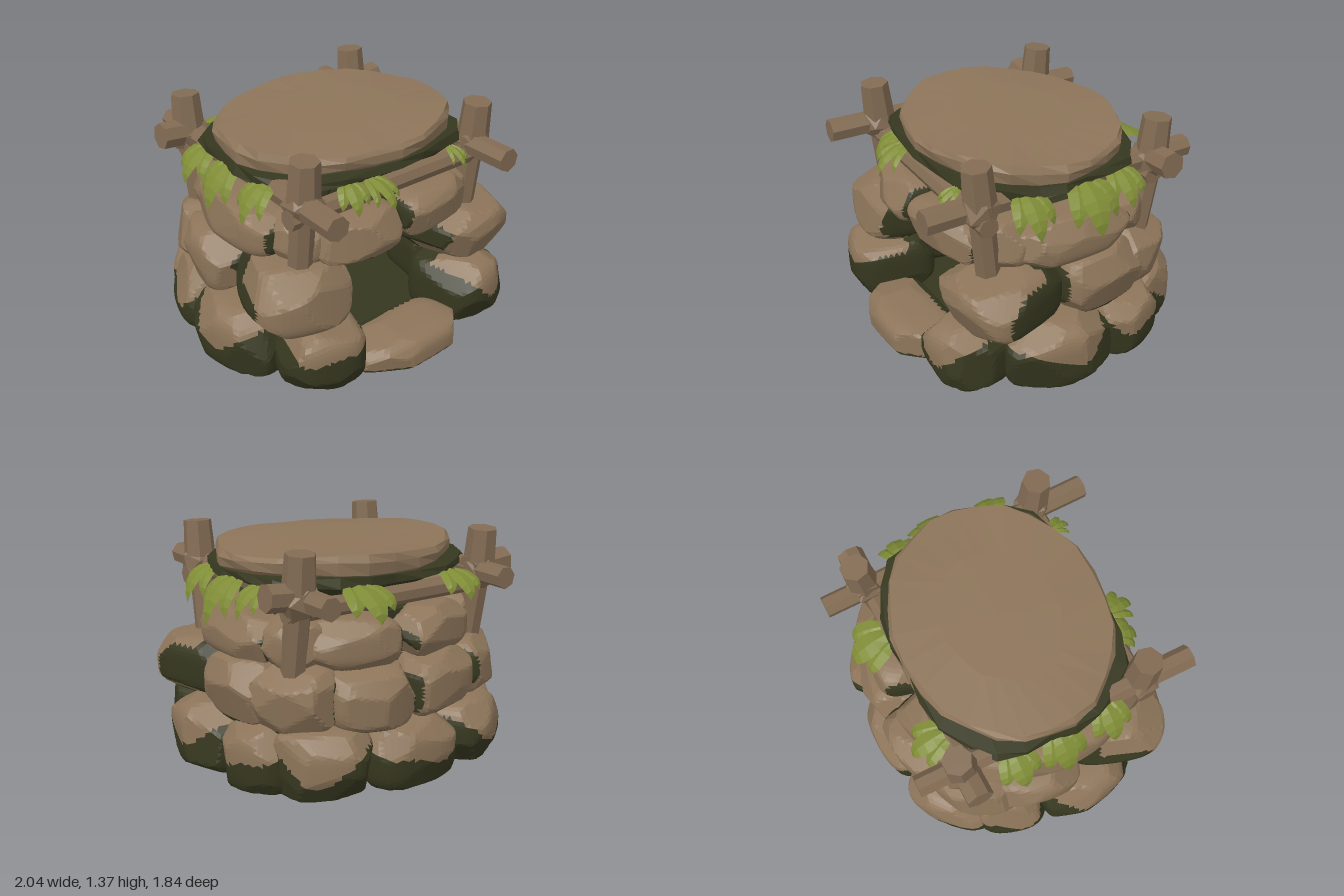
import * as THREE from 'three';

const mat = (name, color, side = THREE.FrontSide) => {
  const m = new THREE.MeshStandardMaterial({ color, side, flatShading: true });
  m.name = name;
  return m;
};

function seeded(seed) {
  let s = seed * 7919 + 17;
  return () => ((s = (s * 16807) % 2147483647) / 2147483647);
}

export function createModel() {
  const stoneMat = mat('stone brown', 0x8c7459);
  const mossMat = mat('dark moss', 0x36371f, THREE.DoubleSide);
  const woodMat = mat('weathered wood', 0x826b53);
  const leafMat = mat('leaf green', 0x7f8c36, THREE.DoubleSide);
  const model = new THREE.Group();
  let seed = 1;

  const add = (name, geo, material, parent = model) => {
    const mesh = new THREE.Mesh(geo, material);
    mesh.name = name;
    parent.add(mesh);
    return mesh;
  };

  // Chiselled boulder: a rounded block cut by random planes.
  // Faces for which isMoss(unit point, height, phase, stone z) holds use moss.
  function boulder(name, parent, [w, h, d], [x, y, z], turn, isMoss) {
    const rnd = seeded(seed++);
    for (let i = 0; i < 5; i++) rnd();
    const p = 3.5, q = p / (p - 1);
    const norm = (v, e) => (Math.abs(v.x) ** e + Math.abs(v.y) ** e + Math.abs(v.z) ** e) ** (1 / e);
    const cuts = Array.from({ length: 14 }, () => {
      const n = new THREE.Vector3(rnd() * 2 - 1, rnd() * 1.8 - 0.8, rnd() * 2 - 0.7).normalize();
      return { n, h: norm(n, q) * (0.81 + rnd() * 0.13) };
    });
    const src = new THREE.IcosahedronGeometry(1, 10).attributes.position;
    const plain = [], mossy = [];
    const phase = rnd() * 6;
    for (let i = 0; i < src.count; i += 3) {
      const tri = [], mid = new THREE.Vector3();
      for (let k = 0; k < 3; k++) {
        const v = new THREE.Vector3().fromBufferAttribute(src, i + k);
        let r = 1 / norm(v, p);
        for (const c of cuts) {
          const dot = v.dot(c.n);
          if (dot > 0) r = Math.min(r, c.h / dot);
        }
        v.multiplyScalar(r);
        mid.addScaledVector(v, 1 / 3);
        // wedge and bend the block around the ring, and rest it on the ground
        tri.push(
          v.x * (1 + 0.1 * v.z) * w / 2,
          Math.max(v.y * h / 2, -y),
          (v.z - 0.12 * v.x * v.x) * d / 2);
      }
      (isMoss(mid, y + mid.y * h / 2, phase, z) ? mossy : plain).push(...tri);
    }
    const geo = new THREE.BufferGeometry();
    geo.setAttribute('position', new THREE.Float32BufferAttribute([...plain, ...mossy], 3));
    geo.addGroup(0, plain.length / 3, 0);
    geo.addGroup(plain.length / 3, mossy.length / 3, 1);
    geo.computeVertexNormals();
    const mesh = add(name, geo, [stoneMat, mossMat], parent);
    mesh.position.set(x, y, z);
    mesh.rotation.y = turn;
  }

  // Three tiers of boulders; each stone is [x, z, facing in degrees, width, depth]
  const upperMoss = (v) => v.z < -0.3 || v.y < -0.85 || Math.abs(v.x) > 0.91;
  const baseMoss = (v, y, f, z) => v.z < -0.25 || Math.abs(v.x) > 0.95 ||
    y < 0.17 + 0.06 * z + 0.15 * v.x * v.x + 0.04 * Math.sin(v.x * 4 + f);
  const tiers = [
    { name: 'lowerStone', y0: -0.05, y1: 0.39, moss: baseMoss, stones: [
      [0.56, 0.57, 16, 0.48, 0.54], [0.75, 0.15, 80, 0.64, 0.52], [0.69, -0.32, 108, 0.44, 0.48],
      [0.49, -0.57, 142, 0.58, 0.52], [0, -0.66, 180, 0.58, 0.52]] },
    { name: 'middleStone', y0: 0.33, y1: 0.72, moss: upperMoss, stones: [
      [0.62, 0.43, 16, 0.58, 0.64], [0.67, -0.16, 95, 0.56, 0.48],
      [0.57, -0.46, 127, 0.5, 0.48], [0.21, -0.62, 162, 0.5, 0.48]] },
    { name: 'upperStone', y0: 0.67, y1: 0.96, moss: upperMoss, stones: [
      [0.28, 0.52, 12, 0.55, 0.4], [0.52, 0.37, 55, 0.36, 0.36], [0.63, 0, 90, 0.74, 0.4],
      [0.53, -0.38, 126, 0.38, 0.38], [0.27, -0.53, 158, 0.55, 0.4]] },
  ];
  for (const t of tiers) {
    const ring = new THREE.Group();
    ring.name = t.name + 'Ring';
    model.add(ring);
    for (const [x, z, deg, w, d] of t.stones) {
      for (const s of x === 0 ? [1] : [1, -1]) {
        boulder(t.name, ring, [w, t.y1 - t.y0, d], [s * x, (t.y0 + t.y1) / 2, z], s * deg * Math.PI / 180, t.moss);
      }
    }
  }
  boulder('doorStep', model, [0.72, 0.27, 0.42], [0, 0.04, 0.71], 0, (v, y) => y < 0.012 || v.z < -0.7);

  // Dark inside walls with a doorway, and the floor
  const lower = add('insideWall', new THREE.CylinderGeometry(0.62, 0.62, 0.68, 28, 1, true, 0.7, Math.PI * 2 - 1.4), mossMat);
  lower.position.y = 0.35;
  const upper = add('upperInsideWall', new THREE.CylinderGeometry(0.62, 0.62, 0.24, 28, 1, true), mossMat);
  upper.position.y = 0.82;
  const floor = add('floor', new THREE.CylinderGeometry(0.8, 0.8, 0.03, 28), mossMat);
  floor.position.y = 0.016;
  for (const m of [lower, upper, floor]) m.scale.z = 0.86;

  // Uneven round slab; "square" pushes the outline out at its corners
  function disc(name, profile, material, wobble, square) {
    const sides = 26;
    const geo = new THREE.LatheGeometry(profile.map((p) => new THREE.Vector2(...p)), sides);
    const pos = geo.attributes.position, n = profile.length;
    for (let i = 0; i < pos.count; i++) {
      const turn = Math.floor(i / n) % sides, a = turn * 2.4, j = i % n;
      const k = (1 + wobble * Math.sin(a * 1.7 + j)) * (1 + square * Math.sin(turn / sides * Math.PI * 4) ** 2);
      const lift = j === 0 || j > n - 3 ? 0 : 0.012 * Math.sin(a * 2.3 + j);
      pos.setXYZ(i, pos.getX(i) * k, pos.getY(i) + lift, pos.getZ(i) * k * 0.83);
    }
    geo.computeVertexNormals();
    return add(name, geo, material);
  }
  disc('roofSlab', [[0, 1.15], [0.67, 1.14], [0.73, 1.19], [0.74, 1.25], [0.72, 1.285], [0.4, 1.297], [0, 1.3]], stoneMat, 0.015, 0).position.x = 0.012;
  disc('roofMoss', [[0, 1.1], [0.66, 1.09], [0.735, 1.13], [0.72, 1.175], [0.5, 1.19], [0, 1.19]], mossMat, 0.025, 0.13);

  // Rough seven-sided log between two points
  function log(name, from, to, r0, r1) {
    const a = new THREE.Vector3(...from), b = new THREE.Vector3(...to);
    const dir = b.clone().sub(a);
    const mesh = add(name, new THREE.CylinderGeometry(r1, r0, dir.length(), 7), woodMat);
    mesh.position.copy(a).add(b).multiplyScalar(0.5);
    mesh.quaternion.setFromUnitVectors(new THREE.Vector3(0, 1, 0), dir.normalize());
  }
  for (const s of [1, -1]) {
    for (const f of [1, -1]) {
      const z = f > 0 ? 0.57 : -0.6;
      log('post', [s * 0.625, 0.64, f * 0.5], [s * 0.63, 1.15, z * 0.97], 0.072, 0.075);
      log('postTop', [s * 0.63, 1.08, z * 0.96], [s * 0.63, 1.36, z], 0.1, 0.085);
      const knot = add('lashing', new THREE.IcosahedronGeometry(0.122, 0), woodMat);
      knot.position.set(s * 0.63, 1.1, z * 0.97);
      knot.rotation.set(s, f, 0.4);
    }
    log('sideBeam', [s * 0.6, 1.11, -0.84], [s * (s > 0 ? 0.6 : 0.65), 1.1, 0.87], 0.066, 0.072);
    log('backBeamEnd', [s * 0.55, 1.12, -0.57], [s * 0.83, 1.145, -0.57], 0.08, 0.08);
  }
  log('frontBeam', [-0.73, 1.035, 0.55], [0.73, 1.035, 0.55], 0.06, 0.06);
  log('backBeam', [-0.7, 1.035, -0.55], [0.7, 1.035, -0.55], 0.06, 0.06);

  // Pointed leaf with a folded middle, curling outward (+z) and down
  function leafGeometry(w, len, reach) {
    const widths = [0.6, 0.95, 0.9, 0.8, 0.5, 0];
    const geo = new THREE.PlaneGeometry(2, 1, 2, 5);
    const pos = geo.attributes.position;
    for (let i = 0; i < pos.count; i++) {
      const row = Math.floor(i / 3), side = (i % 3) - 1, t = row / 5;
      pos.setXYZ(i, side * widths[row] * w / 2,
        -len * t ** 1.5 - Math.abs(side) * 0.012,
        reach * Math.sin(t * 1.6));
    }
    geo.computeVertexNormals();
    return geo;
  }
  // Leaf clusters: x, z, facing angle, width, length, reach
  const q = Math.PI / 2;
  const clusters = [
    [0.68, 0.3, q, 0.18, 0.2, 0.17], [0.73, -0.05, q, 0.23, 0.25, 0.18], [0.68, -0.3, q, 0.16, 0.17, 0.17],
    [-0.68, 0.29, -q, 0.17, 0.2, 0.17], [-0.71, -0.02, -q, 0.2, 0.24, 0.16], [-0.68, -0.29, -q, 0.18, 0.18, 0.17],
    [-0.34, 0.57, -0.2, 0.13, 0.14, 0.13], [-0.2, 0.59, 0.15, 0.12, 0.14, 0.18], [0.42, 0.57, 0.1, 0.075, 0.1, 0.12],
    [-0.4, -0.58, Math.PI, 0.17, 0.14, 0.2], [0.27, -0.61, Math.PI, 0.22, 0.16, 0.22],
  ];
  for (const [x, z, turn, w, len, reach] of clusters) {
    const cluster = new THREE.Group();
    cluster.name = 'leafCluster';
    cluster.position.set(x, 1.145, z);
    cluster.rotation.y = turn;
    model.add(cluster);
    for (const k of [-1, 0, 1]) {
      const leaf = add('leaf', leafGeometry(w * (k ? 0.55 : 0.75), len * (k ? 0.72 : 1), reach * (k ? 0.8 : 1)), leafMat, cluster);
      leaf.position.set(k * w * 0.26, -0.004 * Math.abs(k), 0);
      leaf.rotation.set(0, k * 0.3, k * 0.15);
    }
  }
  return model;
}
